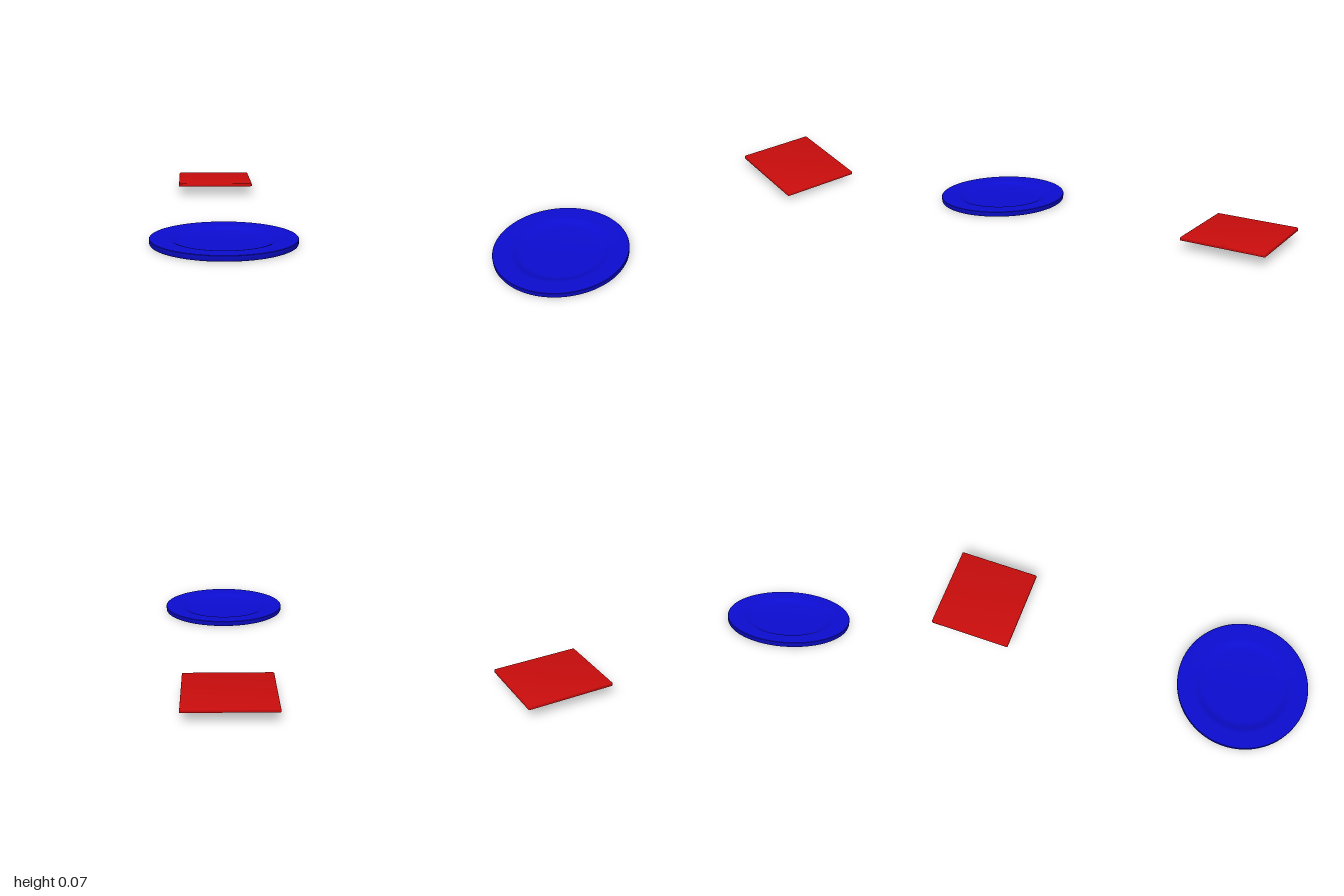
import * as THREE from 'three';
import { toCreasedNormals } from 'three/addons/utils/BufferGeometryUtils.js';

// Round plate with a flat rim, softly sloping well and rounded foot edge
function createPlate() {
  const profile = [
    [0, 0], [0.334, 0], [0.338, 0.002], [0.34, 0.006], [0.341, 0.026], [0.339, 0.028],
    [0.255, 0.028], [0.245, 0.026], [0.232, 0.02], [0.218, 0.014], [0.205, 0.011], [0.19, 0.01], [0, 0.01],
  ].map(([r, y]) => new THREE.Vector2(r, y));
  const geometry = toCreasedNormals(new THREE.LatheGeometry(profile, 96), 0.7);
  const plate = new THREE.Mesh(geometry, new THREE.MeshStandardMaterial({ color: 0x0c0cd0 }));
  plate.name = 'plate';
  plate.position.z = 0.659;
  return plate;
}

// Thin square mat: flat underside, upper edge rounded over
function createMat() {
  const half = 0.2155, height = 0.017, edge = 0.007, corner = 0.005;
  const a = half - corner;
  const outline = new THREE.Shape();
  [[a, -a], [a, a], [-a, a], [-a, -a]].forEach(([x, y], i) => {
    outline.absarc(x, y, corner, (i - 1) * Math.PI / 2, i * Math.PI / 2, false);
  });
  const geometry = new THREE.ExtrudeGeometry(outline, { depth: height, steps: 10, bevelEnabled: false, curveSegments: 6 });

  // Pull the upper layers inward along a quarter round
  const p = geometry.attributes.position;
  for (let i = 0; i < p.count; i++) {
    const t = Math.max(0, (p.getZ(i) - (height - edge)) / edge);
    const inset = edge * (1 - Math.sqrt(Math.max(0, 1 - t * t))) * 0.8;
    const s = 1 - inset / half;
    p.setXY(i, p.getX(i) * s, p.getY(i) * s);
  }
  geometry.rotateX(-Math.PI / 2);

  const mat = new THREE.Mesh(toCreasedNormals(geometry, 0.6), new THREE.MeshStandardMaterial({ color: 0xc80c0c }));
  mat.name = 'squareMat';
  mat.position.set(0, 0.049, -0.7845);
  return mat;
}

export function createModel() {
  const model = new THREE.Group();
  model.name = 'plateAndMat';
  model.add(createPlate(), createMat());
  return model;
}
